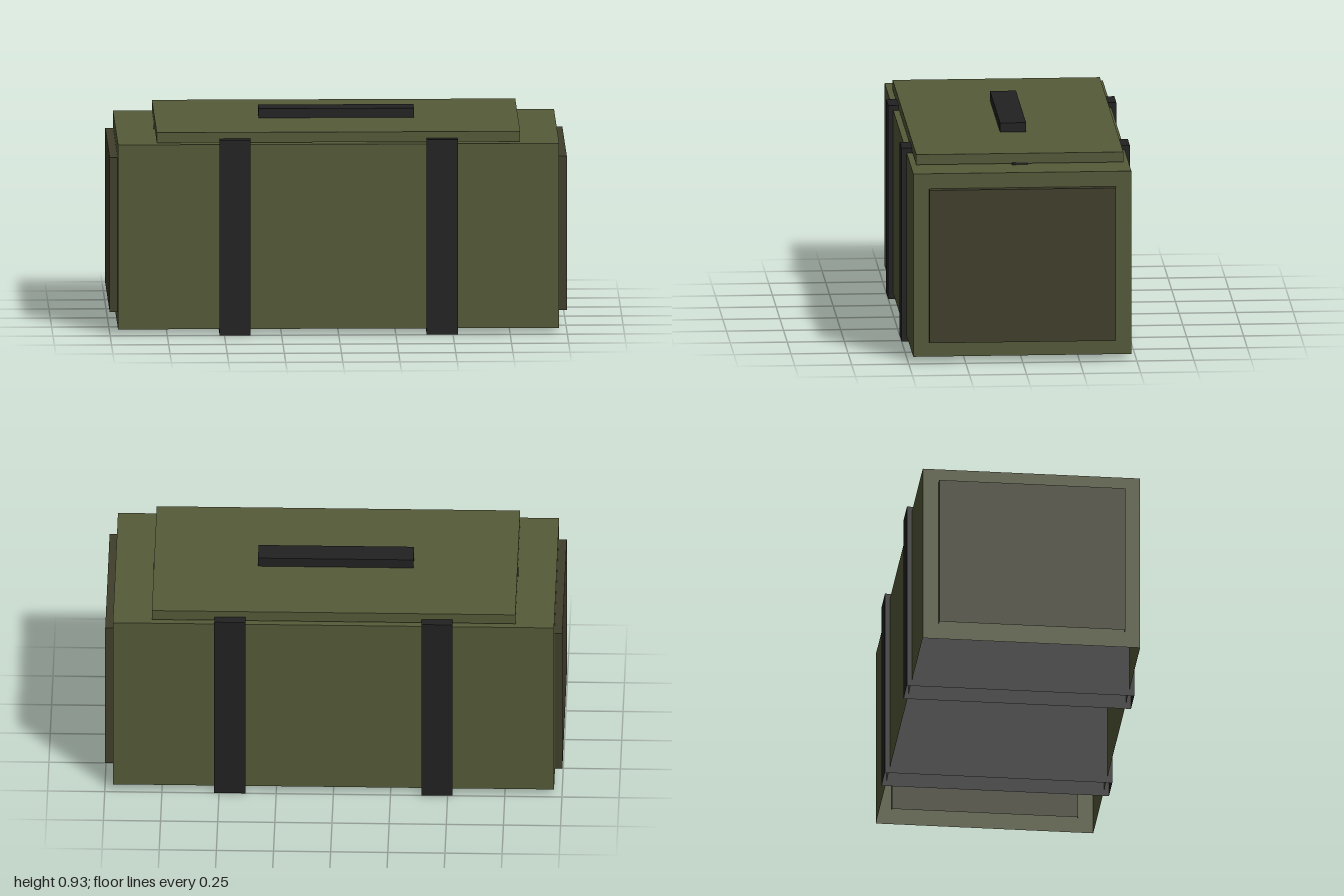
import * as THREE from 'three';

const paint = (name, color) => {
  const m = new THREE.MeshStandardMaterial({ color, side: THREE.DoubleSide });
  m.name = name;
  return m;
};

// Box shell without an underside, given by its centre, width, depth and height range
function openBox(name, material, [x, z], width, depth, bottom, top) {
  const geometry = new THREE.BoxGeometry(width, top - bottom, depth);
  const index = Array.from(geometry.index.array);
  index.splice(18, 6); // underside
  geometry.setIndex(index);
  geometry.clearGroups();
  geometry.translate(x, (bottom + top) / 2, z);
  const mesh = new THREE.Mesh(geometry, material);
  mesh.name = name;
  return mesh;
}

export function createModel() {
  const olive = paint('olive green', 0x565b39);
  const brown = paint('dark olive brown', 0x403f2c);
  const black = paint('strap black', 0x222222);

  const crate = new THREE.Group();
  crate.name = 'crate';

  // Body and raised lid
  crate.add(openBox('body', olive, [0, 0], 1.93, 0.956, 0.025, 0.842));
  crate.add(openBox('lid', olive, [0, 0], 1.59, 0.908, 0.847, 0.892));

  // Bar under the lid, its ends just showing
  crate.add(openBox('lidBar', black, [0, 0], 1.597, 0.07, 0.842, 0.851));

  // Handle
  crate.add(openBox('handle', black, [0, 0], 0.68, 0.114, 0.892, 0.933));

  for (const side of [1, -1]) {
    const label = side > 0 ? 'left' : 'right';
    // End panels and straps that wrap the body
    crate.add(openBox(`${label}EndPanel`, brown, [side * 0.975, 0], 0.05, 0.818, 0.092, 0.775));
    crate.add(openBox(`${label}Strap`, black, [side * 0.453, 0], 0.136, 1.0, 0, 0.864));
  }
  return crate;
}
